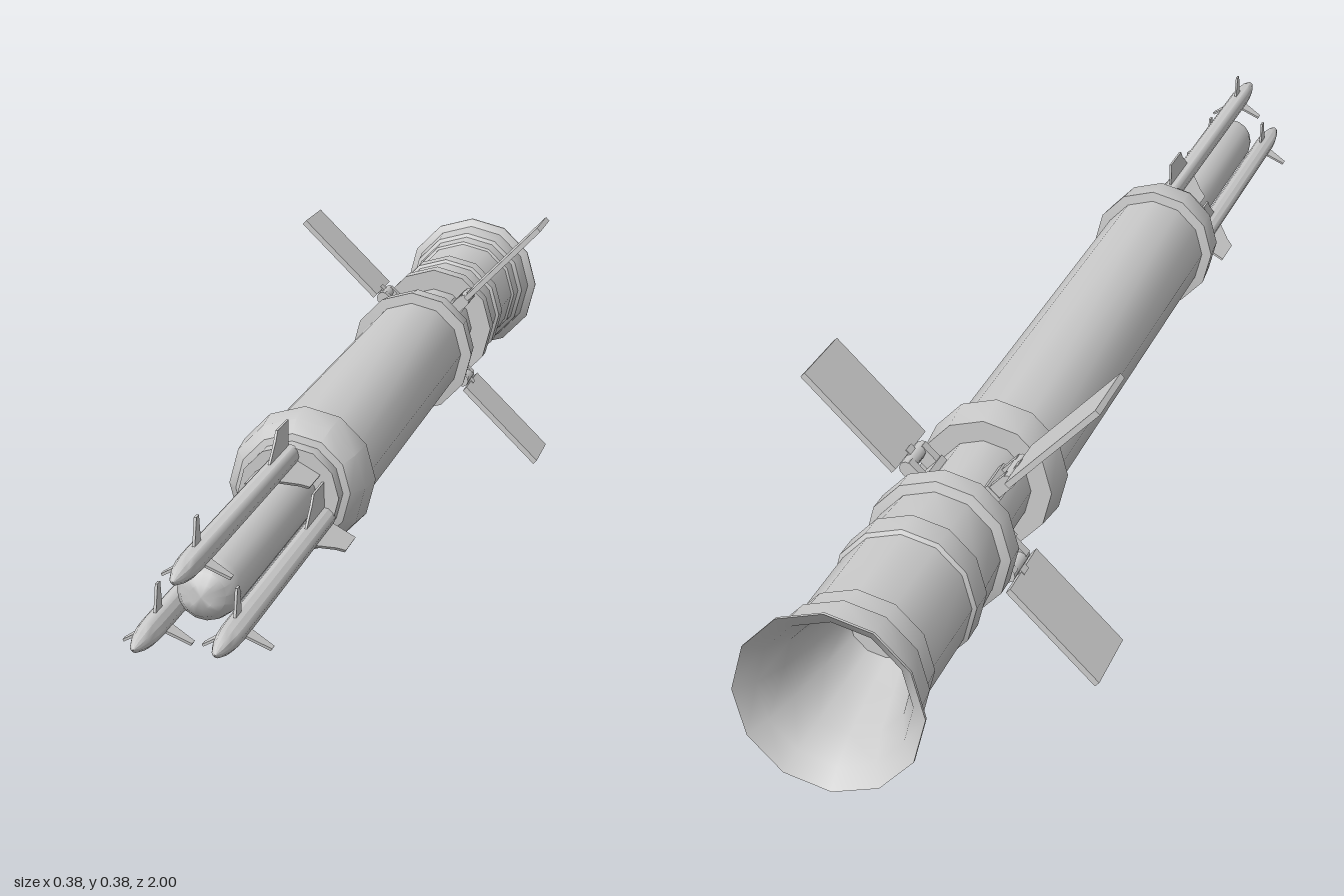
import * as THREE from 'three';
import { toCreasedNormals } from 'three/addons/utils/BufferGeometryUtils.js';

const AXIS_Y = 0.189;
const grey = new THREE.MeshStandardMaterial({ color: 0xcccccc });

function mesh(name, geometry) {
  const m = new THREE.Mesh(geometry, grey);
  m.name = name;
  return m;
}

// Revolve [radius, z] points, listed back to front, around the z axis
function turned(name, profile, sides) {
  const g = new THREE.LatheGeometry(profile.map(([r, z]) => new THREE.Vector2(r, z)), sides);
  g.rotateX(Math.PI / 2);
  return mesh(name, toCreasedNormals(g, 0.65));
}

// Thin plate drawn in [radial distance, z], standing along +x
function plate(name, points, thickness) {
  const shape = new THREE.Shape(points.map(([r, z]) => new THREE.Vector2(r, z)));
  const g = new THREE.ExtrudeGeometry(shape, { depth: thickness, bevelEnabled: false });
  g.translate(0, 0, -thickness / 2).rotateX(Math.PI / 2);
  return mesh(name, g);
}

function box(name, w, h, d, x, y, z) {
  const m = mesh(name, new THREE.BoxGeometry(w, h, d));
  m.position.set(x, y, z);
  return m;
}

// Folding fin on its forked hinge, pointing along +x
function tailFin() {
  const fin = new THREE.Group();
  fin.name = 'tailFin';
  fin.add(box('finBlade', 0.161, 0.008, 0.108, 0.1825, 0, -0.534));
  fin.add(box('hingeBase', 0.012, 0.024, 0.064, 0.063, 0, -0.534));
  for (const s of [-1, 1]) {
    fin.add(box('hingeFork', 0.03, 0.018, 0.014, 0.08, 0, -0.534 + s * 0.024));
  }
  fin.add(box('hingeTongue', 0.022, 0.01, 0.018, 0.096, 0, -0.534));
  const pin = mesh('hingePin', new THREE.CylinderGeometry(0.009, 0.009, 0.062, 8));
  pin.rotation.x = Math.PI / 2;
  pin.position.set(0.092, 0, -0.534);
  fin.add(pin);
  return fin;
}

// Slim dart with three rear fins and three small canards
function dart() {
  const group = new THREE.Group();
  group.name = 'dart';
  group.add(turned('dartBody', [
    [0, 0.45], [0.0145, 0.45], [0.0145, 0.92], [0.0135, 0.945],
    [0.0105, 0.97], [0.006, 0.99], [0, 1],
  ], 12));
  for (let i = 0; i < 3; i++) {
    const rear = plate('dartRearFin', [[0.008, 0.456], [0.047, 0.456], [0.047, 0.515], [0.036, 0.525], [0.008, 0.565]], 0.003);
    const canard = plate('dartCanard', [[0.008, 0.885], [0.045, 0.893], [0.045, 0.904], [0.008, 0.914]], 0.003);
    rear.rotation.z = canard.rotation.z = (i * Math.PI * 2) / 3;
    group.add(rear, canard);
  }
  return group;
}

export function createModel() {
  const model = new THREE.Group();
  model.name = 'missile';
  const body = new THREE.Group();
  body.name = 'missileAssembly';
  body.position.y = AXIS_Y;
  model.add(body);

  // Rear motor with a hollow flared nozzle and raised bands
  body.add(turned('rearMotor', [
    [0, -0.82], [0.045, -0.82], [0.06, -0.88], [0.075, -0.94], [0.092, -0.98], [0.113, -1],
    [0.113, -0.996], [0.101, -0.988], [0.097, -0.94], [0.091, -0.935], [0.089, -0.9],
    [0.085, -0.897], [0.085, -0.76], [0.09, -0.757], [0.09, -0.72], [0.085, -0.717],
    [0.081, -0.642], [0.093, -0.638], [0.093, -0.606], [0.062, -0.606],
  ], 12));

  // Narrow neck carrying the fins
  body.add(turned('finNeck', [[0.062, -0.62], [0.062, -0.44]], 12));

  // Main tube with rear band and bevelled front collar
  body.add(turned('mainTube', [
    [0, -0.46], [0.089, -0.46], [0.094, -0.405], [0.078, -0.403], [0.078, 0.352],
    [0.092, 0.354], [0.088, 0.405], [0.074, 0.428], [0.065, 0.43], [0.065, 0.456], [0, 0.456],
  ], 12));

  // Central rod with a rounded tip
  body.add(turned('centreRod', [
    [0.037, 0.45], [0.037, 0.845], [0.034, 0.86], [0.026, 0.874], [0.014, 0.882], [0, 0.885],
  ], 16));

  for (let i = 0; i < 4; i++) {
    const fin = tailFin();
    fin.rotation.z = Math.PI / 4 + (i * Math.PI) / 2;
    body.add(fin);
  }

  // Three darts around the rod, each with one fin facing outward
  for (let i = 0; i < 3; i++) {
    const angle = Math.PI / 2 + (i * Math.PI * 2) / 3;
    const d = dart();
    d.rotation.z = angle;
    d.position.set(Math.cos(angle) * 0.052, Math.sin(angle) * 0.052, 0);
    body.add(d);
  }
  return model;
}
